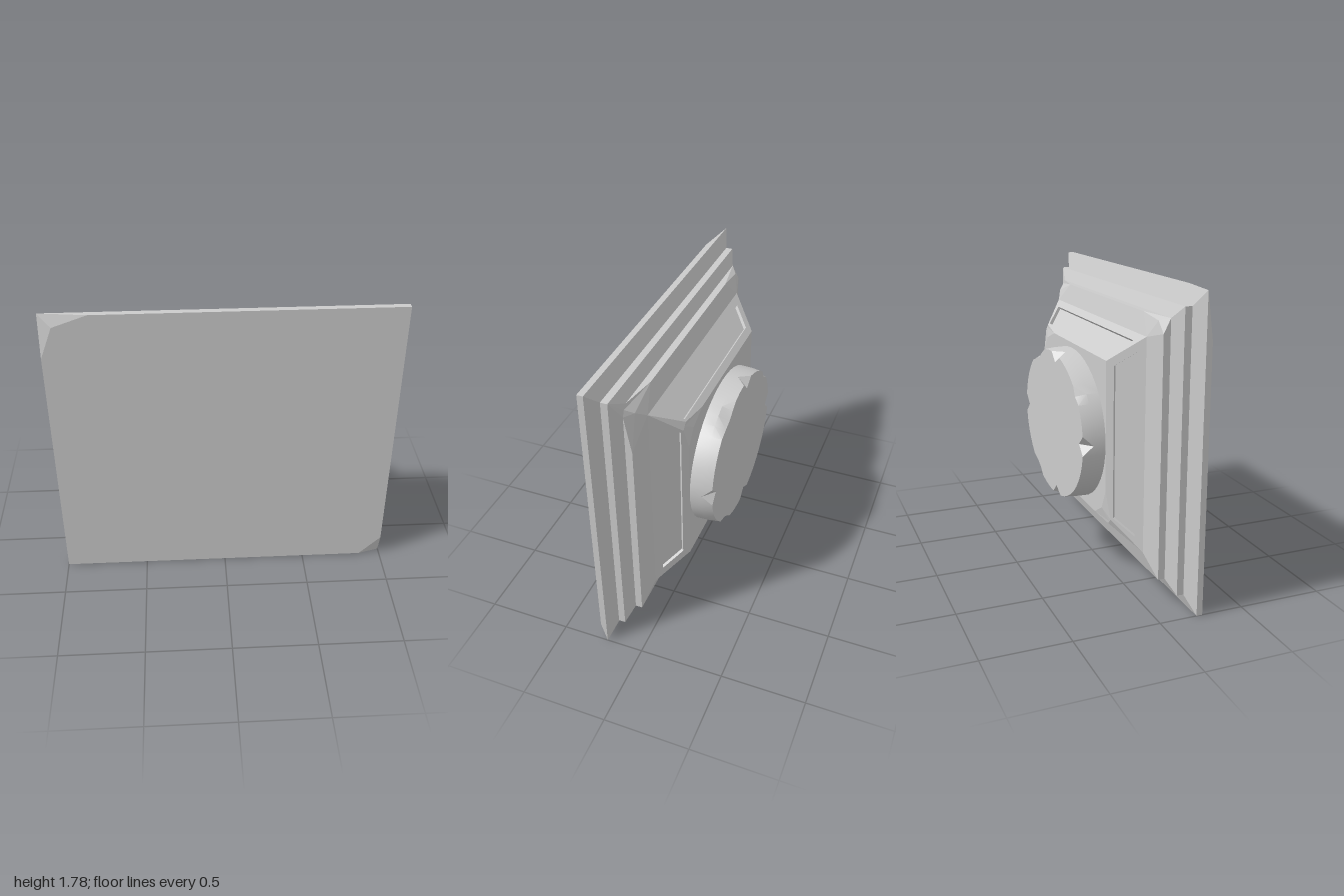
import * as THREE from 'three';
import { toCreasedNormals } from 'three/addons/utils/BufferGeometryUtils.js';

const CY = 0.89; // height of the plinth's axis
const V = (x, y, z) => new THREE.Vector3(x, y, z);
const CORNERS = [[1, -1], [1, 1], [-1, 1], [-1, -1]]; // counter-clockwise from the front

// Triangle collector that drops empty faces
function faceList() {
  const pos = [];
  const tri = (a, b, c) => {
    const area = b.clone().sub(a).cross(c.clone().sub(a)).length();
    if (area > 1e-7) for (const p of [a, b, c]) pos.push(p.x, p.y, p.z);
  };
  const quad = (a, b, c, d) => { tri(a, b, c); tri(a, c, d); };
  const geometry = () => {
    const g = new THREE.BufferGeometry();
    g.setAttribute('position', new THREE.Float32BufferAttribute(pos, 3));
    g.computeVertexNormals();
    return g;
  };
  return { tri, quad, geometry };
}

// Rectangular section, three points per corner; cuts = { corner: [cutX, cutY, bulge] }
function section({ z, hx, hy, cuts = {} }) {
  return CORNERS.flatMap(([sx, sy], k) => {
    const [cx, cy, m] = cuts[k] || [0, 0, 0];
    const p = (dx, dy) => V(sx * (hx - dx), CY + sy * (hy - dy), z);
    const alongX = p(cx, 0), alongY = p(0, cy), mid = p(cx * m, cy * m);
    return k % 2 === 0 ? [alongX, mid, alongY] : [alongY, mid, alongX];
  });
}

// Half sizes of the sloped body at depth z
const slope = (z) => ({ z, hx: 0.69 - (0.035 - z) * 1.03, hy: 0.615 - (0.035 - z) * 0.9375 });

// One sloped side: a frame around a sunken panel
function panelSide(f, k, outer) {
  const [c0, c1] = [CORNERS[k], CORNERS[(k + 1) % 4]];
  const at = (z, c, other) => {
    const { hx, hy } = slope(z);
    const inset = V(other[0] - c[0], other[1] - c[1], 0).normalize().multiplyScalar(0.054);
    return V(c[0] * hx, CY + c[1] * hy, z).add(inset);
  };
  const rim = [at(0, c0, c1), at(-0.093, c0, c1), at(-0.093, c1, c0), at(0, c1, c0)];
  const normal = rim[1].clone().sub(rim[0]).cross(rim[3].clone().sub(rim[0])).normalize();
  const floor = rim.map((p) => p.clone().addScaledVector(normal, -0.02));
  for (let i = 0; i < 4; i++) {
    const j = (i + 1) % 4;
    f.quad(outer[i], outer[j], rim[j], rim[i]);
    f.quad(rim[i], rim[j], floor[j], floor[i]);
  }
  f.quad(...floor);
}

// Stepped plinth with chipped corners
function plinthGeometry() {
  const f = faceList();
  const rings = [
    { z: 0.255, hx: 1, hy: 0.89, cuts: { 0: [0.13, 0.13, 0.5], 2: [0.27, 0.26, 0.27] } },
    { z: 0.22, hx: 1, hy: 0.89 },
    { z: 0.185, hx: 0.905, hy: 0.8 },
    { z: 0.145, hx: 0.905, hy: 0.8 },
    { z: 0.11, hx: 0.82, hy: 0.73, cuts: { 1: [0.04, 0.06, 0.4] } },
    { z: 0.07, hx: 0.82, hy: 0.73, cuts: { 1: [0.26, 0.28, 0.22], 2: [0.25, 0.08, 0.25] } },
    slope(0.035),
    { ...slope(-0.103), cuts: { 1: [0.035, 0.035, 0.5], 3: [0.035, 0.035, 0.5] } },
    { ...slope(-0.125), cuts: { 1: [0.2, 0.14, 0.35], 3: [0.16, 0.18, 0.35] } },
  ].map(section);

  for (let i = 0; i < rings.length - 1; i++) {
    const [a, b] = [rings[i], rings[i + 1]];
    for (let j = 0; j < 12; j++) {
      const n = (j + 1) % 12;
      if (i === 6 && j % 3 === 2) panelSide(f, (j - 2) / 3, [a[j], b[j], b[n], a[n]]);
      else f.quad(a[j], b[j], b[n], a[n]);
    }
  }
  const [front, back] = [rings[0], rings[rings.length - 1]];
  for (let j = 1; j < 11; j++) {
    f.tri(front[0], front[j], front[j + 1]);
    f.tri(back[0], back[j + 1], back[j]);
  }
  return f.geometry();
}

// Round boss with notches knocked out of its rim
function bossGeometry() {
  const f = faceList();
  const N = 48, cy = 0.878;
  const notches = { 0: 0.88, 13: 0.88, 24: 0.88, 35: 0.88, 7: 0.96, 8: 0.93, 9: 0.96, 40: 0.95, 41: 0.95, 19: 0.96 };
  const ring = (z, scale, chipped) => Array.from({ length: N }, (_, i) => {
    const t = (i / N) * Math.PI * 2;
    const s = scale * (chipped ? notches[i] || 1 : 1);
    return V(0.523 * s * Math.cos(t), cy + 0.447 * s * Math.sin(t), z);
  });
  const rings = [ring(-0.12, 1), ring(-0.195, 0.995), ring(-0.255, 0.98, true)];
  const centre = V(0, cy, -0.255);
  for (let j = 0; j < N; j++) {
    const n = (j + 1) % N;
    for (let i = 0; i < 2; i++) {
      const [a, b] = [rings[i], rings[i + 1]];
      // the diagonal always meets the notch root, so each notch is symmetrical
      if (notches[n]) { f.tri(a[j], b[j], a[n]); f.tri(b[j], b[n], a[n]); }
      else f.quad(a[j], b[j], b[n], a[n]);
    }
    f.tri(centre, rings[2][n], rings[2][j]);
  }
  return toCreasedNormals(f.geometry(), 0.4);
}

export function createModel() {
  const group = new THREE.Group();
  group.name = 'pedestal';
  const add = (name, geometry, flatShading) => {
    const mesh = new THREE.Mesh(geometry, new THREE.MeshStandardMaterial({ color: 0xcccccc, flatShading }));
    mesh.name = name;
    group.add(mesh);
  };
  add('steppedPlinth', plinthGeometry(), true);
  add('roundBoss', bossGeometry(), false);
  return group;
}
